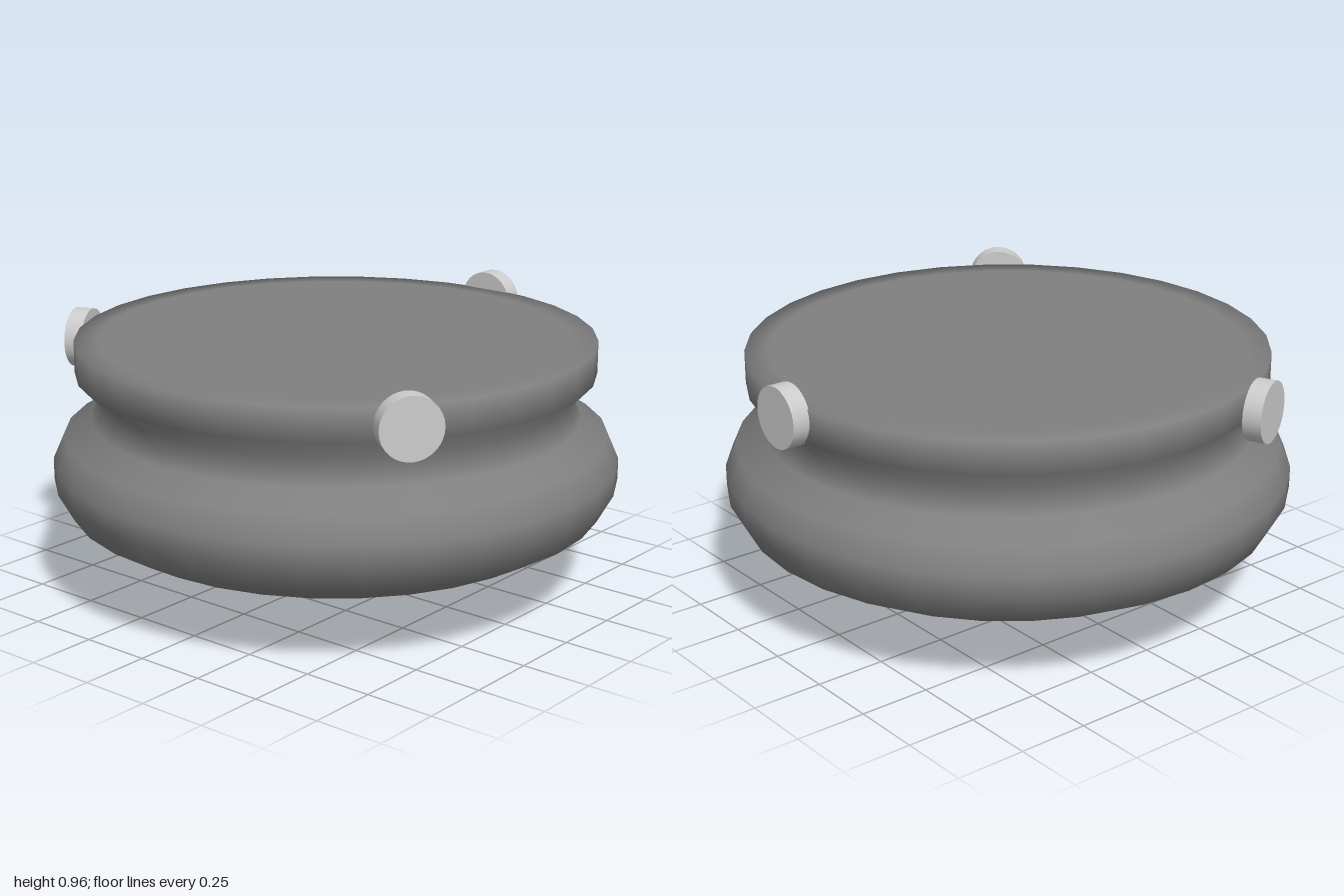
import * as THREE from 'three';

export function createModel() {
  const group = new THREE.Group();
  const bodyMat = new THREE.MeshStandardMaterial({ color: 0x808080 });
  const discMat = new THREE.MeshStandardMaterial({ color: 0xcccccc });

  // Turned body: tapered base, bulging belly, pinched neck and flat-topped rim
  const profile = [
    [0, 0], [0.165, 0], [0.6, 0.145], [0.82, 0.23], [0.945, 0.3], [1, 0.4],
    [1, 0.475], [0.96, 0.565], [0.865, 0.62], [0.83, 0.71],
    [0.915, 0.785], [0.915, 0.9], [0.83, 0.9], [0, 0.9],
  ].map(([r, y]) => new THREE.Vector2(r, y));
  const body = new THREE.Mesh(new THREE.LatheGeometry(profile, 32), bodyMat);
  body.name = 'body';
  group.add(body);

  // Three round discs set around the rim, each facing outwards
  const discGeo = new THREE.CylinderGeometry(0.107, 0.107, 0.065, 32);
  const up = new THREE.Vector3(0, 1, 0);
  const discs = [
    ['leftDisc', 0.933, 0.857, 0],
    ['frontRightDisc', -0.568, 0.843, 0.763],
    ['backRightDisc', -0.375, 0.82, -0.88],
  ];
  for (const [name, x, y, z] of discs) {
    const disc = new THREE.Mesh(discGeo, discMat);
    disc.name = name;
    disc.position.set(x, y, z);
    disc.quaternion.setFromUnitVectors(up, new THREE.Vector3(x, 0, z).normalize());
    group.add(disc);
  }

  return group;
}
